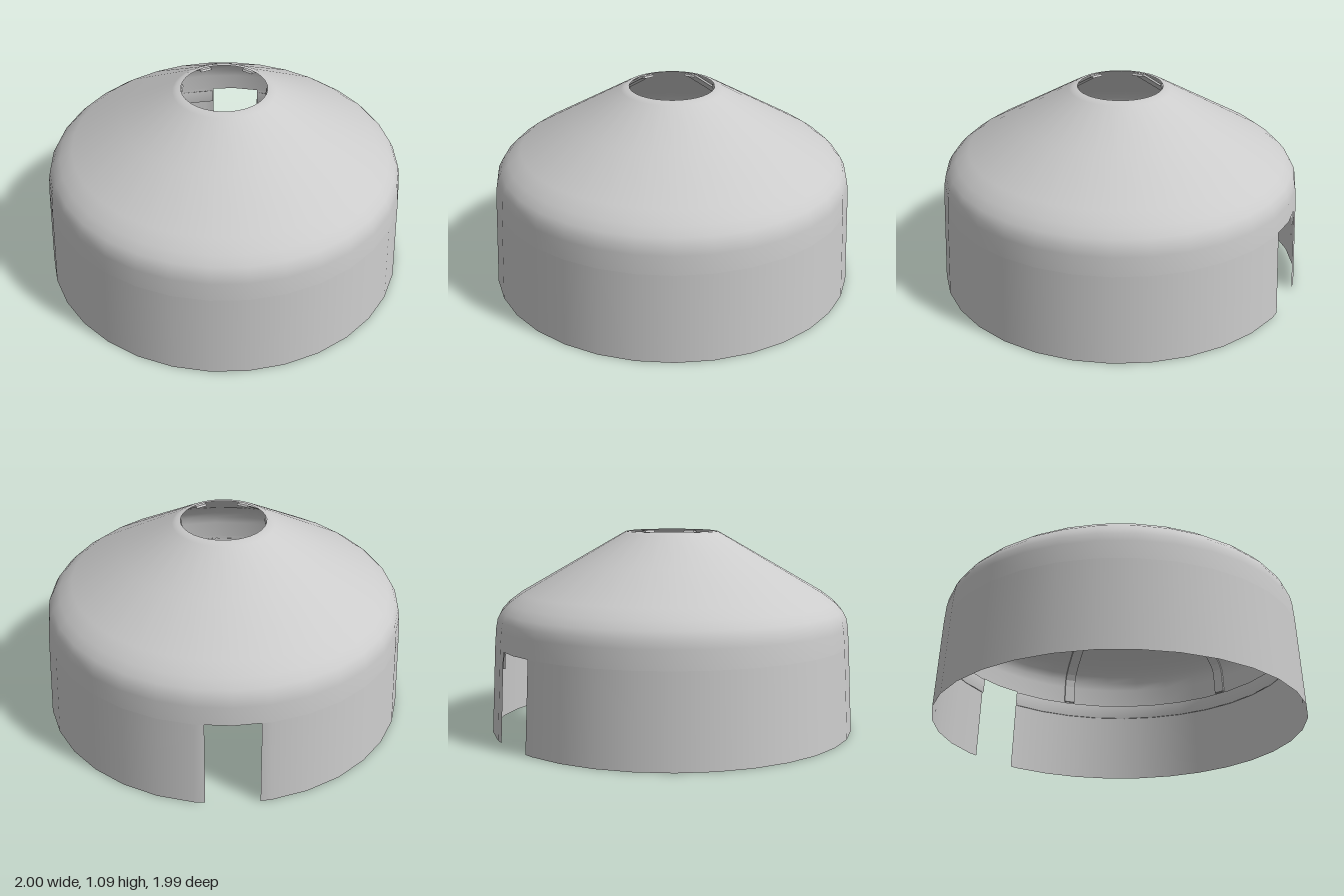
import * as THREE from 'three';

const SIDES = 32;
const DOOR_HALF = 0.14, DOOR_TOP = 0.48;

// Half-profiles as [radius, height], from the ground upward
const WALL = [[1, 0], [0.988, 0.25], [0.977, DOOR_TOP]];
const ROOF = [[0.977, DOOR_TOP], [0.969, 0.58], [0.96, 0.625], [0.94, 0.662], [0.9, 0.705],
  [0.83, 0.757], [0.55, 0.918], [0.275, 1.076], [0.255, 1.087], [0.23, 1.09]];

const vectors = (list) => list.map(([r, y]) => new THREE.Vector2(r, y));

export function createModel() {
  const group = new THREE.Group();
  const material = new THREE.MeshStandardMaterial({ color: 0xcccccc, side: THREE.DoubleSide });
  const add = (name, geometry, turn = 0) => {
    const mesh = new THREE.Mesh(geometry, material);
    mesh.name = name;
    mesh.rotation.y = turn;
    group.add(mesh);
  };

  // Upper wall, rounded eave and conical roof around the open smoke hole
  add('roof', new THREE.LatheGeometry(vectors(ROOF), SIDES, Math.PI));

  // Lower wall: the seam at the back is drawn apart to leave the doorway
  const wall = new THREE.LatheGeometry(vectors(WALL), SIDES, Math.PI);
  const pos = wall.attributes.position;
  const rows = WALL.length;
  for (const [edge, next] of [[0, 1], [SIDES, SIDES - 1]]) {
    for (let j = 0; j < rows; j++) {
      const a = new THREE.Vector3().fromBufferAttribute(pos, edge * rows + j);
      const b = new THREE.Vector3().fromBufferAttribute(pos, next * rows + j);
      a.lerp(b, DOOR_HALF / Math.abs(b.x));
      pos.setXYZ(edge * rows + j, a.x, a.y, a.z);
    }
  }
  add('wall', wall);

  // Flat band running round the inside, broken at the doorway
  const band = [[0.974, 0.39], [0.964, 0.39], [0.96, 0.47], [0.967, 0.47], [0.974, 0.39]];
  const gap = 0.148;
  add('wallBand', new THREE.LatheGeometry(vectors(band), SIDES, Math.PI + gap, 2 * Math.PI - 2 * gap));

  // Six ribs following the inside of the roof from the band to the smoke hole
  const inset = (d) => ROOF.map(([r, y]) => {
    const k = THREE.MathUtils.smoothstep(y, 0.56, 0.76); // turns the inset from sideways to downward
    return new THREE.Vector2(r - d * (1 - 0.5 * k), y - d * 0.87 * k);
  });
  const width = 0.062;
  const ribShape = new THREE.Shape([...inset(0.008), ...inset(0.02).reverse()]);
  const rib = new THREE.ExtrudeGeometry(ribShape, { depth: width, bevelEnabled: false });
  rib.translate(0, 0, -width / 2);
  for (let i = 0; i < 6; i++) add('roofRib', rib, i * Math.PI / 3);

  group.position.z = -0.007;
  const model = new THREE.Group();
  model.name = 'roundTent';
  model.add(group);
  return model;
}
